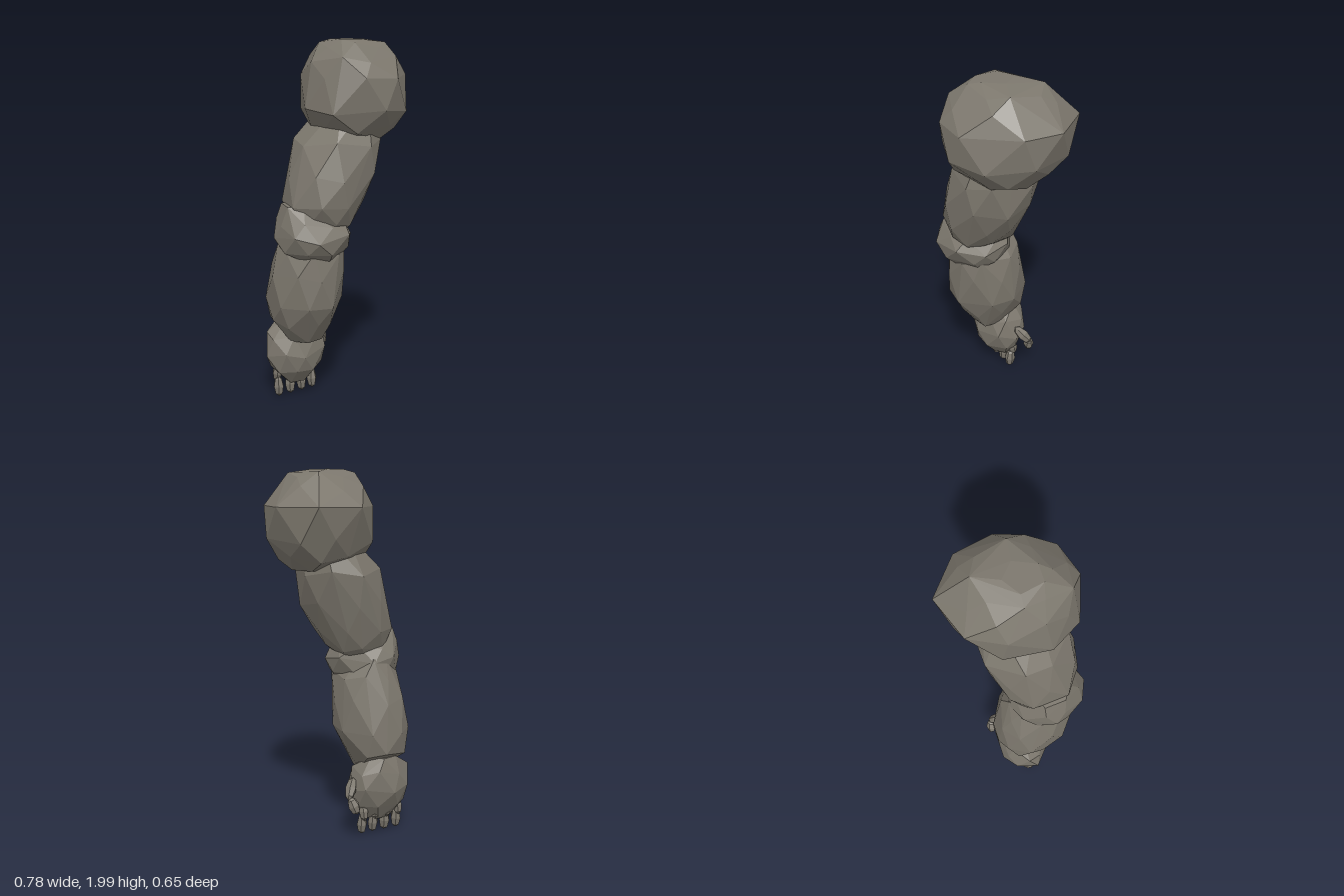
import * as THREE from 'three';
import { ConvexGeometry } from 'three/addons/geometries/ConvexGeometry.js';

const stone = new THREE.MeshStandardMaterial({ color: 0x7c776d, flatShading: true });
stone.name = 'grey stone';

// Faceted boulder: convex hull of staggered rings, each [y, xMin, xMax, zMin, zMax]
function boulder(name, rings, { skew = 0, phase = 0 } = {}) {
  const points = [];
  rings.forEach(([y, x0, x1, z0, z1], i) => {
    const end = i === 0 || i === rings.length - 1;
    const n = end ? 5 : 8;
    const cx = (x0 + x1) / 2, cz = (z0 + z1) / 2;
    const rx = (x1 - x0) / 2 * 1.03, rz = (z1 - z0) / 2 * 1.03;
    for (let k = 0; k < n; k++) {
      const a = ((k + (i % 2) * 0.5) / n) * Math.PI * 2 + phase + 0.1 * Math.sin(k * 2.3 + i * 1.7);
      const dz = rz * Math.sin(a);
      const dy = end ? 0 : 0.015 * Math.sin(k * 3.1 + i * 2.2); // chipped, uneven ring
      points.push(new THREE.Vector3(cx + rx * Math.cos(a) + skew * dz, y + dy, cz + dz));
    }
  });
  const mesh = new THREE.Mesh(new ConvexGeometry(points), stone);
  mesh.name = name;
  return mesh;
}

// Small pointed pebble used for finger and thumb joints
const pebbleGeometry = new THREE.SphereGeometry(1, 6, 4);
function pebble(name, position, radii, rotation = [0, 0, 0]) {
  const mesh = new THREE.Mesh(pebbleGeometry, stone);
  mesh.name = name;
  mesh.position.set(...position);
  mesh.scale.set(...radii);
  mesh.rotation.set(...rotation);
  return mesh;
}

export function createModel() {
  const arm = new THREE.Group();
  arm.name = 'stoneArm';

  arm.add(boulder('shoulder', [
    [2.0, -0.06, 0.12, -0.05, 0.13],
    [1.97, -0.1, 0.26, -0.16, 0.18],
    [1.9, -0.17, 0.31, -0.23, 0.27],
    [1.81, -0.18, 0.385, -0.33, 0.33],
    [1.64, -0.215, 0.375, -0.28, 0.33],
    [1.545, -0.14, 0.31, -0.23, 0.26],
    [1.483, 0.04, 0.25, -0.13, 0.16],
  ], { skew: -0.12 }));

  arm.add(boulder('upperArm', [
    [1.68, -0.04, 0.2, -0.15, 0.15],
    [1.47, -0.23, 0.215, -0.235, 0.235],
    [1.3, -0.29, 0.18, -0.21, 0.255],
    [1.15, -0.33, 0.1, -0.19, 0.235],
    [1.05, -0.28, 0.03, -0.16, 0.2],
    [0.98, -0.22, -0.05, -0.1, 0.14],
  ], { phase: 0.2 }));

  arm.add(boulder('elbow', [
    [1.15, -0.35, -0.2, -0.08, 0.1],
    [1.06, -0.37, -0.02, -0.15, 0.2],
    [0.99, -0.39, 0.02, -0.18, 0.25],
    [0.91, -0.37, 0.0, -0.16, 0.22],
    [0.86, -0.29, -0.04, -0.07, 0.17],
  ], { phase: 0.3 }));

  arm.add(boulder('forearm', [
    [1.0, -0.25, -0.1, -0.18, 0],
    [0.9, -0.34, 0.0, -0.21, 0.18],
    [0.77, -0.38, 0.01, -0.25, 0.185],
    [0.6, -0.39, 0.01, -0.28, 0.175],
    [0.48, -0.36, -0.04, -0.275, 0.11],
    [0.365, -0.28, -0.09, -0.11, 0.03],
  ], { phase: 0.1 }));

  const hand = new THREE.Group();
  hand.name = 'hand';
  hand.add(boulder('palm', [
    [0.46, -0.27, -0.12, -0.25, -0.13],
    [0.38, -0.36, -0.04, -0.27, -0.03],
    [0.28, -0.38, -0.02, -0.28, 0],
    [0.18, -0.35, -0.05, -0.24, -0.02],
    [0.09, -0.27, -0.12, -0.18, -0.09],
  ]));

  // Four fingers, each a knuckle and a tip
  [-0.307, -0.232, -0.158, -0.088].forEach((x, i) => {
    const finger = new THREE.Group();
    finger.name = `finger${i + 1}`;
    finger.add(pebble('knuckle', [x, 0.145, -0.165], [0.027, 0.055, 0.032], [0.25, 0, 0]));
    finger.add(pebble('fingertip', [x, 0.066, -0.15], [0.03, 0.06, 0.032], [-0.08, i, 0]));
    hand.add(finger);
  });

  // Thumb on the inner side
  const thumb = new THREE.Group();
  thumb.name = 'thumb';
  thumb.add(pebble('thumbBase', [0.0, 0.295, -0.18], [0.032, 0.068, 0.035], [0.6, 0, 0.5]));
  thumb.add(pebble('thumbTip', [0.003, 0.212, -0.222], [0.033, 0.052, 0.03], [0.2, 0, -0.35]));
  hand.add(thumb);

  arm.add(hand);
  return arm;
}
